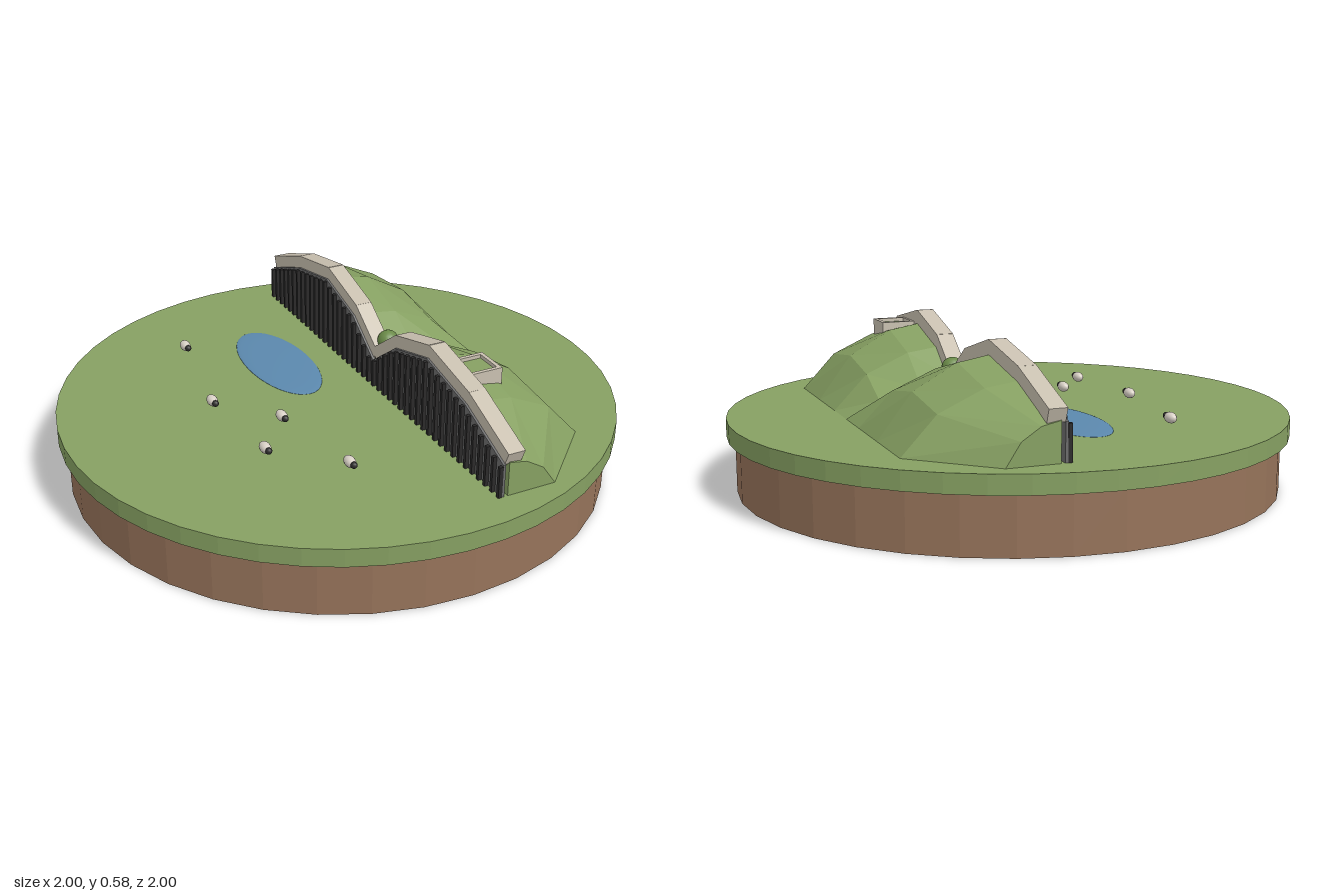
import * as THREE from 'three';

const mat = (name, color, flatShading = false) => {
  const m = new THREE.MeshStandardMaterial({ color, flatShading });
  m.name = name;
  return m;
};

const GROUND = 0.265;
// Double-arched roof line: distance along the facade, height of the top edge
const ROOF = [
  [-0.87, 0.44], [-0.63, 0.528], [-0.38, 0.575], [-0.16, 0.515], [0, 0.405],
  [0.16, 0.522], [0.38, 0.582], [0.63, 0.53], [0.87, 0.43],
];
const BEAM = 0.05;

// Underside of the roof beam at distance s along the facade
function underside(s) {
  let i = 0;
  while (i < ROOF.length - 2 && s > ROOF[i + 1][0]) i++;
  const [a, ya] = ROOF[i], [b, yb] = ROOF[i + 1];
  return THREE.MathUtils.lerp(ya, yb, (s - a) / (b - a)) - BEAM - 0.005;
}

// Faceted hill: rounded cross-sections falling from the roof line to the ground
function hillGeometry() {
  const profile = [[0, 0], [0, 1], [0.36, 0.9], [0.72, 0.58], [1, 0]];
  const n = profile.length, last = (ROOF.length - 1) * n;
  const pos = [], index = [];
  ROOF.forEach(([s], i) => {
    const end = i === 0 || i === ROOF.length - 1;
    const depth = end ? 0.18 : 0.43;
    const rise = underside(s) + 0.012 - GROUND;
    for (const [d, h] of profile) pos.push(s, GROUND + rise * h, -d * depth);
  });
  for (let i = 0; i < ROOF.length - 1; i++) {
    for (let j = 0; j < n - 1; j++) {
      const a = i * n + j, b = a + n;
      index.push(a, b, b + 1, a, b + 1, a + 1);
    }
  }
  for (let j = 1; j < n - 1; j++) {
    index.push(0, j, j + 1, last, last + j + 1, last + j);
  }
  const g = new THREE.BufferGeometry();
  g.setAttribute('position', new THREE.Float32BufferAttribute(pos, 3));
  g.setIndex(index);
  const flat = g.toNonIndexed();
  flat.computeVertexNormals();
  return flat;
}

export function createModel() {
  const grass = mat('grass', 0x86a062, true);
  const earth = mat('earth', 0x96735a, true);
  const stone = mat('stone', 0xc9c0b0);
  const glass = mat('grey glass', 0x6c6c6c);
  const dark = mat('dark metal', 0x2b2a2a);
  const water = mat('water', 0x5b88ad);
  const leaf = mat('leaf', 0x6a8a48);
  const wool = mat('wool', 0xd8d0c6);

  const model = new THREE.Group();
  const add = (parent, name, geometry, material, x = 0, y = 0, z = 0) => {
    const mesh = new THREE.Mesh(geometry, material);
    mesh.name = name;
    mesh.position.set(x, y, z);
    parent.add(mesh);
    return mesh;
  };

  // Round base
  add(model, 'earthBase', new THREE.CylinderGeometry(0.97, 0.97, 0.2, 36), earth, 0, 0.1, 0);
  add(model, 'grassDisc', new THREE.CylinderGeometry(1, 1, GROUND - 0.2, 48), grass, 0, (GROUND + 0.2) / 2, 0);

  // Building set into the hill, turned on the base
  const building = new THREE.Group();
  building.name = 'building';
  building.position.set(0.06, 0, -0.16);
  building.rotation.y = -THREE.MathUtils.degToRad(20);
  model.add(building);
  add(building, 'hill', hillGeometry(), grass);

  // Stone beam segments along the roof line
  const roof = new THREE.Group();
  roof.name = 'roofBeam';
  building.add(roof);
  for (let i = 0; i < ROOF.length - 1; i++) {
    const [a, ya] = ROOF[i], [b, yb] = ROOF[i + 1];
    const length = Math.hypot(b - a, yb - ya);
    const beam = add(roof, 'beamSegment', new THREE.BoxGeometry(length + 0.008, BEAM, 0.062), stone,
      (a + b) / 2, (ya + yb) / 2 - BEAM / 2, -0.016);
    beam.rotation.z = Math.atan2(yb - ya, b - a);
  }

  // Glass wall filling the arches
  const wall = new THREE.Shape();
  wall.moveTo(-0.87, GROUND);
  wall.lineTo(0.87, GROUND);
  for (const [s] of [...ROOF].reverse()) wall.lineTo(s, underside(s) + 0.008);
  wall.closePath();
  add(building, 'glassWall', new THREE.ExtrudeGeometry(wall, { depth: 0.01, bevelEnabled: false }), glass, 0, 0, 0.013);

  // Vertical fins in front of the glass
  const fins = new THREE.Group();
  fins.name = 'facadeFins';
  building.add(fins);
  const count = 44;
  for (let i = 0; i < count; i++) {
    const s = -0.865 + (1.73 * i) / (count - 1);
    const height = underside(s) - GROUND;
    add(fins, 'fin', new THREE.BoxGeometry(0.013, height, 0.014), dark, s, GROUND + height / 2, 0.029);
  }

  // Square roof opening with a stone rim
  const square = (path, r) => path.setFromPoints(
    [[-r, -r], [r, -r], [r, r], [-r, r], [-r, -r]].map(([x, y]) => new THREE.Vector2(x, y)));
  const rim = square(new THREE.Shape(), 0.064);
  rim.holes.push(square(new THREE.Path(), 0.05));
  const rimMesh = add(building, 'roofOpeningRim',
    new THREE.ExtrudeGeometry(rim, { depth: 0.09, bevelEnabled: false }), stone, 0.485, 0.445, -0.105);
  rimMesh.rotation.x = -Math.PI / 2;
  add(building, 'roofOpeningLawn', new THREE.BoxGeometry(0.102, 0.06, 0.102), grass, 0.485, 0.492, -0.105);

  // Round bush in the dip between the arches
  add(model, 'bush', new THREE.SphereGeometry(0.04, 16, 12), leaf, 0.07, 0.42, -0.2);

  // Shallow oval pond
  const pond = add(model, 'pond', new THREE.SphereGeometry(1, 40, 12, 0, Math.PI * 2, 0, Math.PI / 2), water,
    -0.315, GROUND, -0.015);
  pond.scale.set(0.28, 0.01, 0.123);
  pond.rotation.y = building.rotation.y;

  // Grazing sheep
  for (const [x, z] of [[-0.625, 0.175], [-0.225, 0.397], [0.03, 0.305], [0.145, 0.495], [0.41, 0.368]]) {
    const sheep = new THREE.Group();
    sheep.name = 'sheep';
    sheep.position.set(x, 0.298, z);
    sheep.rotation.y = building.rotation.y;
    model.add(sheep);
    add(sheep, 'sheepBody', new THREE.SphereGeometry(1, 12, 8), wool).scale.set(0.031, 0.019, 0.019);
    add(sheep, 'sheepHead', new THREE.SphereGeometry(0.012, 10, 8), dark, 0.03, 0.002, 0);
  }

  return model;
}
